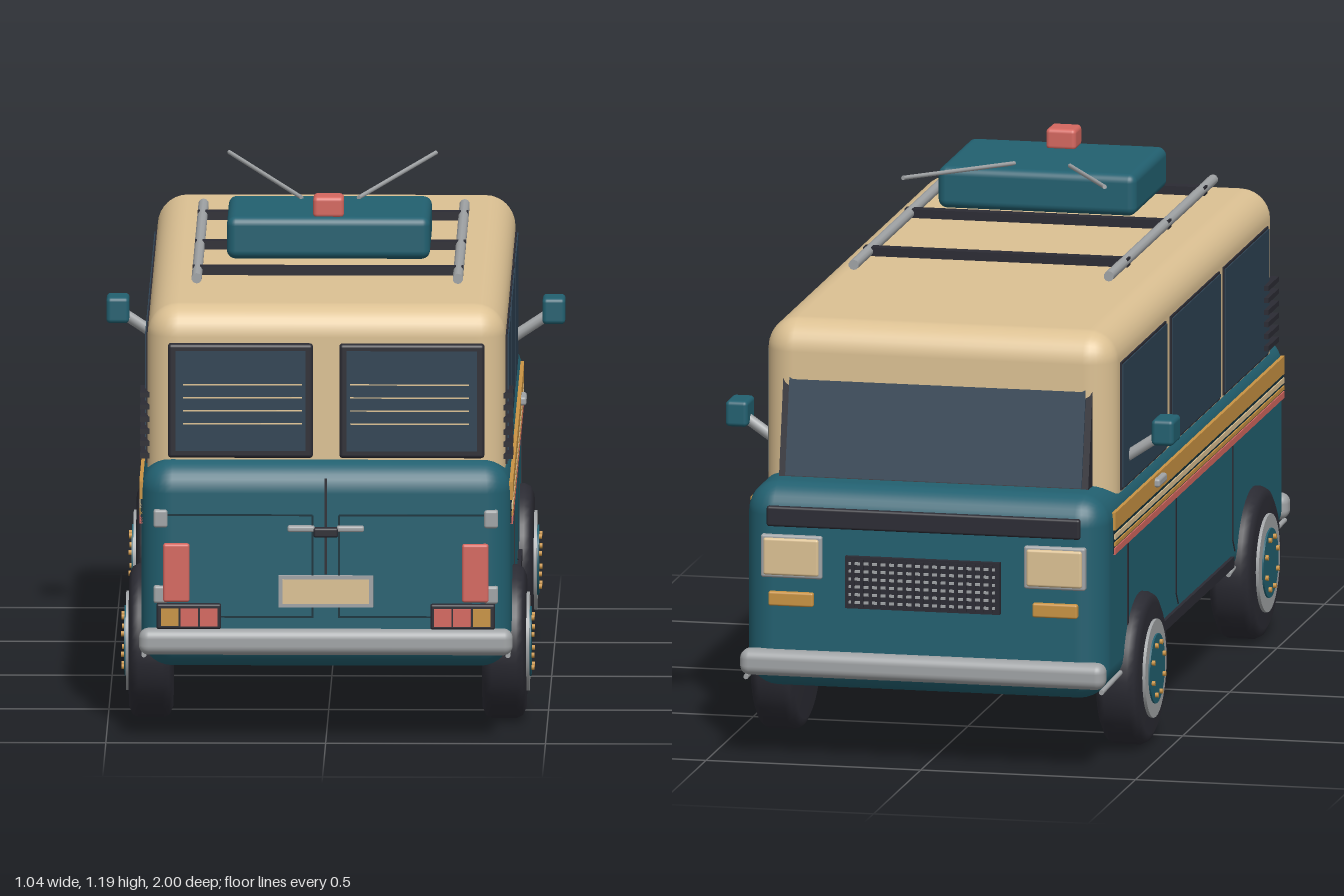
import * as THREE from 'three';
import { RoundedBoxGeometry } from 'three/addons/geometries/RoundedBoxGeometry.js';

const paint = (name, color) => {
  const m = new THREE.MeshStandardMaterial({ color });
  m.name = name;
  return m;
};

export function createModel() {
  const teal = paint('teal', 0x226070), cream = paint('cream', 0xdcc193);
  const glass = paint('glass', 0x2d4152), dark = paint('dark', 0x2b2b33);
  const chrome = paint('chrome', 0xa0a3a5), red = paint('red', 0xd4675f);
  const orange = paint('orange', 0xc99343), seam = paint('seam', 0x12303a);

  const van = new THREE.Group();
  van.name = 'van';
  const add = (name, geo, mat, x = 0, y = 0, z = 0, parent = van) => {
    const m = new THREE.Mesh(geo, mat);
    m.name = name;
    m.position.set(x, y, z);
    parent.add(m);
    return m;
  };
  // Box given by its limits on each axis; r rounds the edges
  const box = (name, mat, [x0, x1], [y0, y1], [z0, z1], r = 0) => {
    const s = [x1 - x0, y1 - y0, z1 - z0];
    const geo = r ? new RoundedBoxGeometry(...s, 4, r) : new THREE.BoxGeometry(...s);
    return add(name, geo, mat, (x0 + x1) / 2, (y0 + y1) / 2, (z0 + z1) / 2);
  };
  // The same box on both sides of the van
  const pair = (name, mat, [x0, x1], y, z, r) => {
    box(name, mat, [x0, x1], y, z, r);
    box(name, mat, [-x1, -x0], y, z, r);
  };
  // Round bar between two points
  const bar = (name, mat, a, b, r) => {
    const p = new THREE.Vector3(...a), q = new THREE.Vector3(...b);
    const d = q.clone().sub(p);
    const m = add(name, new THREE.CylinderGeometry(r, r, d.length(), 10), mat);
    m.position.copy(p.add(q).multiplyScalar(0.5));
    m.quaternion.setFromUnitVectors(new THREE.Vector3(0, 1, 0), d.normalize());
  };

  // Body shell
  box('lowerBody', teal, [-0.42, 0.42], [0.165, 0.64], [-0.97, 0.975], 0.07);
  box('cabin', cream, [-0.407, 0.407], [0.45, 0.99], [-0.823, 0.912], 0.07);

  // Sloping windscreen, a wedge drawn in side profile
  const wedge = new THREE.Shape([[0.79, 0.91], [0.808, 0.91], [0.866, 0.63], [0.79, 0.63]]
    .map(p => new THREE.Vector2(...p)));
  const wedgeGeo = new THREE.ExtrudeGeometry(wedge, { depth: 0.72, bevelEnabled: false });
  wedgeGeo.translate(0, 0, -0.36).rotateY(Math.PI / 2);
  add('windscreenFrame', wedgeGeo, dark);
  const pane = add('windscreen', new THREE.BoxGeometry(0.69, 0.262, 0.006), glass, 0, 0.77, -0.838);
  pane.rotation.x = Math.atan2(0.058, 0.28);

  // Side windows
  for (const z of [[0.345, 0.815], [-0.215, 0.3], [-0.74, -0.265]]) {
    pair('windowTrim', dark, [0.4, 0.411], [0.615, 0.912], z);
    pair('sideWindow', glass, [0.405, 0.414], [0.621, 0.907], [z[0] + 0.005, z[1] - 0.005]);
  }
  // Air vents behind the last window
  for (let i = 0; i < 6; i++) {
    const y = 0.64 + i * 0.028;
    pair('ventSlat', dark, [0.4, 0.424], [y - 0.006, y + 0.006], [0.755, 0.865]);
  }

  // Side stripes, seams, handle and sill
  pair('orangeStripe', orange, [0.416, 0.425], [0.549, 0.59], [-0.872, 0.922]);
  pair('stripeGap', seam, [0.416, 0.422], [0.495, 0.549], [-0.872, 0.922]);
  pair('creamStripe', cream, [0.416, 0.425], [0.528, 0.54], [-0.872, 0.922]);
  pair('thinOrangeStripe', orange, [0.416, 0.425], [0.512, 0.521], [-0.872, 0.922]);
  pair('redStripe', red, [0.416, 0.425], [0.493, 0.508], [-0.872, 0.922]);
  pair('sideHandle', chrome, [0.42, 0.437], [0.564, 0.584], [-0.455, -0.375], 0.006);
  pair('sill', dark, [0.41, 0.428], [0.21, 0.235], [-0.37, 0.375]);
  for (const [z, y] of [[0.39, 0.27], [-0.21, 0.27], [-0.72, 0.3]])
    pair('doorSeam', dark, [0.416, 0.422], [y, 0.493], [z - 0.004, z + 0.004]);
  for (const s of [-1, 1]) {
    for (const z of [0.39, -0.21])
      bar('doorSeamCorner', dark, [s * 0.418, 0.272, z], [s * 0.418, 0.24, z + 0.025], 0.004);
    for (const [a, b] of [[0.97, 0.78], [0.43, 0.375], [-0.375, -0.42], [-0.77, -0.97]])
      bar('sidePipe', chrome, [s * 0.414, 0.198, a], [s * 0.414, 0.192, b], 0.006);
    // Mirrors
    bar('mirrorArm', chrome, [s * 0.4, 0.675, -0.665], [s * 0.49, 0.735, -0.66], 0.013);
  }
  pair('mirror', teal, [0.47, 0.522], [0.713, 0.773], [-0.7, -0.617], 0.01);

  // Bumpers at both ends
  box('rearBumper', chrome, [-0.425, 0.425], [0.2, 0.26], [0.945, 1], 0.022);
  box('frontBumper', chrome, [-0.425, 0.425], [0.2, 0.26], [-1, -0.945], 0.022);

  // Rear windows with heating lines
  pair('rearWindowFrame', dark, [0.03, 0.36], [0.645, 0.907], [0.895, 0.932], 0.008);
  pair('rearWindow', glass, [0.047, 0.343], [0.662, 0.892], [0.927, 0.935]);
  for (const y of [0.725, 0.755, 0.785, 0.815])
    pair('heatingLine', cream, [0.055, 0.325], [y - 0.0015, y + 0.0015], [0.93, 0.937]);

  // Rear doors
  box('rearDoorSplit', dark, [-0.003, 0.003], [0.385, 0.605], [0.97, 0.979]);
  pair('rearSeamTop', seam, [0.03, 0.36], [0.519, 0.523], [0.97, 0.978]);
  pair('rearSeamBottom', seam, [0.03, 0.36], [0.285, 0.289], [0.97, 0.978]);
  pair('rearSeamInner', seam, [0.028, 0.032], [0.285, 0.52], [0.97, 0.978]);
  pair('rearHandle', chrome, [0.025, 0.087], [0.484, 0.498], [0.97, 0.992], 0.005);
  box('rearLatch', dark, [-0.028, 0.028], [0.472, 0.494], [0.97, 0.995], 0.005);
  pair('upperHinge', chrome, [0.36, 0.392], [0.492, 0.533], [0.95, 0.982], 0.006);
  pair('lowerHinge', chrome, [0.36, 0.392], [0.318, 0.358], [0.95, 0.982], 0.006);
  box('plateFrame', chrome, [-0.108, 0.108], [0.31, 0.383], [0.97, 0.985]);
  box('plate', cream, [-0.098, 0.098], [0.319, 0.375], [0.98, 0.988]);

  // Rear lamps
  pair('tailLamp', red, [0.31, 0.37], [0.322, 0.456], [0.95, 0.99], 0.006);
  pair('lampHousing', dark, [0.238, 0.385], [0.26, 0.318], [0.95, 0.99], 0.005);
  [[0.246, red], [0.29, red], [0.335, orange]].forEach(([x, mat]) =>
    pair('lampCell', mat, [x, x + 0.04], [0.268, 0.308], [0.97, 0.996]));

  // Nose: intake strip, grille, headlamps, indicators
  box('intake', dark, [-0.365, 0.365], [0.545, 0.592], [-0.977, -0.94], 0.006);
  box('grilleFrame', dark, [-0.18, 0.18], [0.365, 0.485], [-0.985, -0.96]);
  for (let i = 0; i < 6; i++) {
    const y = 0.38 + i * 0.018;
    box('grilleBar', chrome, [-0.17, 0.17], [y - 0.003, y + 0.003], [-0.99, -0.98]);
  }
  for (let i = 0; i < 17; i++) {
    const x = -0.16 + i * 0.02;
    box('grilleRib', dark, [x - 0.004, x + 0.004], [0.37, 0.48], [-0.991, -0.98]);
  }
  pair('headlampFrame', chrome, [0.235, 0.378], [0.427, 0.527], [-0.98, -0.94], 0.006);
  pair('headlamp', cream, [0.242, 0.371], [0.434, 0.52], [-0.986, -0.95], 0.006);
  pair('indicator', orange, [0.255, 0.36], [0.362, 0.395], [-0.982, -0.95], 0.005);

  // Wheels
  const tyreGeo = new THREE.LatheGeometry([[0, -0.05], [0.15, -0.05], [0.168, -0.042], [0.175, -0.028],
    [0.175, 0.028], [0.168, 0.042], [0.15, 0.05], [0, 0.05]].map(p => new THREE.Vector2(...p)), 40);
  const disc = (r, h) => new THREE.CylinderGeometry(r, r, h, 32);
  for (const s of [-1, 1]) for (const z of [0.605, -0.597]) {
    const wheel = new THREE.Group();
    wheel.name = 'wheel';
    wheel.position.set(s * 0.402, 0.175, z);
    wheel.rotation.z = -s * Math.PI / 2;
    van.add(wheel);
    add('tyre', tyreGeo, dark, 0, 0, 0, wheel);
    add('rim', disc(0.113, 0.02), chrome, 0, 0.047, 0, wheel);
    add('hubCap', disc(0.08, 0.02), teal, 0, 0.051, 0, wheel);
    for (let i = 0; i < 8; i++) {
      const a = (i + 0.5) * Math.PI / 4;
      add('bolt', new THREE.CylinderGeometry(0.006, 0.006, 0.012, 8), orange,
        Math.cos(a) * 0.062, 0.062, Math.sin(a) * 0.062, wheel);
    }
  }

  // Roof rack, cargo box, beacon and aerials
  for (const s of [-1, 1]) {
    bar('rackRail', chrome, [s * 0.297, 1.03, 0.745], [s * 0.297, 1.03, -0.36], 0.012);
    bar('aerial', chrome, [s * 0.065, 1.145, 0.285], [s * 0.235, 1.186, -0.12], 0.005);
  }
  for (const z of [0.62, 0.24, -0.195])
    box('rackBar', dark, [-0.308, 0.308], [1.02, 1.04], [z - 0.014, z + 0.014]);
  box('cargoBox', teal, [-0.231, 0.231], [1.045, 1.142], [0.223, 0.565], 0.02);
  box('beacon', red, [-0.035, 0.035], [1.138, 1.187], [0.48, 0.55], 0.01);

  return van;
}
